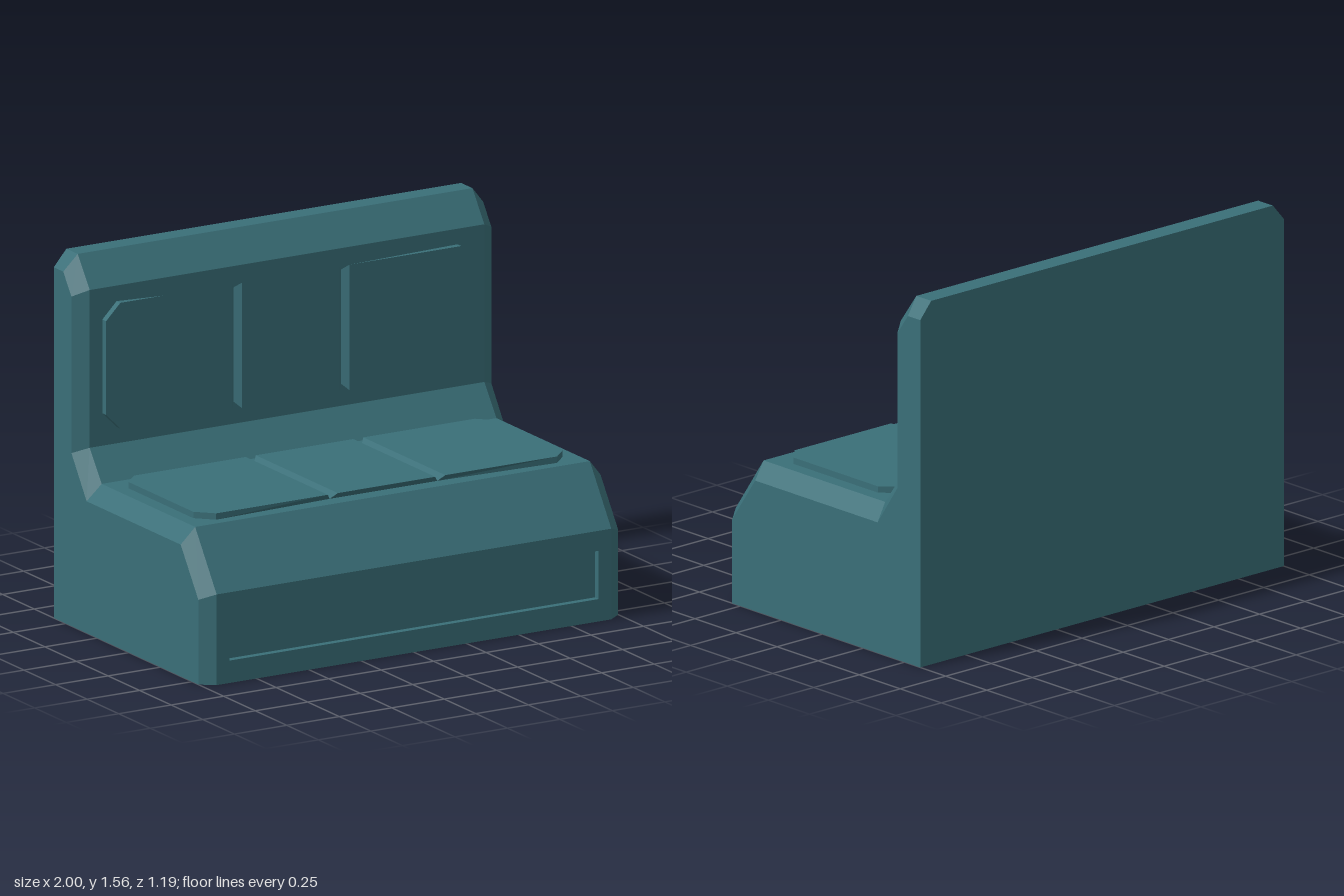
import * as THREE from 'three';

const upholstery = new THREE.MeshStandardMaterial({ color: 0x3a6f78 });
upholstery.name = 'teal upholstery';

// Non-indexed geometry from a list of triangles, giving flat faces
function facets(tris) {
  const g = new THREE.BufferGeometry();
  g.setAttribute('position', new THREE.Float32BufferAttribute(tris.flat(2), 3));
  g.computeVertexNormals();
  return g;
}
const quad = (a, b, c, d) => [[a, b, c], [a, c, d]];

function part(name, geometry) {
  const m = new THREE.Mesh(geometry, upholstery);
  m.name = name;
  return m;
}

// Side profiles as [z, y]: full section, and the smaller one at the bevelled ends
const FULL = [[-0.595, 0], [0.595, 0], [0.595, 0.385], [0.425, 0.63], [-0.315, 0.63],
  [-0.41, 0.76], [-0.41, 1.43], [-0.505, 1.56], [-0.595, 1.56]];
const END = [[-0.595, 0], [0.55, 0], [0.55, 0.36], [0.41, 0.56], [-0.335, 0.56],
  [-0.455, 0.735], [-0.455, 1.4], [-0.52, 1.49], [-0.595, 1.49]];
const FRONT_EDGE = 1; // profile edge that forms the front panel

function bodyGeometry() {
  const rings = [[-1, END], [-0.94, FULL], [0.94, FULL], [1, END]]
    .map(([x, pts]) => pts.map(([z, y]) => [x, y, z]));
  const tris = [];
  for (let r = 0; r < 3; r++) {
    for (let i = 0; i < FULL.length; i++) {
      if (r === 1 && i === FRONT_EDGE) continue;
      const j = (i + 1) % FULL.length;
      tris.push(...quad(rings[r][i], rings[r + 1][i], rings[r + 1][j], rings[r][j]));
    }
  }
  // end caps
  const caps = THREE.ShapeUtils.triangulateShape(END.map(([z, y]) => new THREE.Vector2(z, y)), []);
  for (const [a, b, c] of caps) {
    tris.push([rings[0][a], rings[0][b], rings[0][c]]);
    tris.push([rings[3][a], rings[3][c], rings[3][b]]);
  }
  return facets(tris);
}

// Front panel frame with a shallow sunken rectangle
function frontPanelGeometry() {
  const rect = (x, y0, y1, z) => [[-x, y0, z], [x, y0, z], [x, y1, z], [-x, y1, z]];
  const loops = [rect(0.94, 0, 0.385, 0.595), rect(0.88, 0.095, 0.3, 0.595), rect(0.88, 0.095, 0.3, 0.565)];
  const tris = quad(...loops[2]);
  for (let k = 0; k < 2; k++) {
    for (let i = 0; i < 4; i++) {
      const j = (i + 1) % 4;
      tris.push(...quad(loops[k][i], loops[k][j], loops[k + 1][j], loops[k + 1][i]));
    }
  }
  return facets(tris);
}

// Pad in the xy plane rising along z: outer ends have cut corners,
// ends next to another pad slope down into a V groove
function padGeometry(x0, x1, half, rise) {
  const cut = 0.068;
  const top = [], base = [];
  const add = (x, y, bx = x, by = y) => {
    top.push([x, y, rise]);
    base.push([bx, by, 0]);
  };
  const side = (x, dir) => { // dir +1: right end, going up; -1: left end, going down
    if (Math.abs(x) > 0.5) {
      add(x - dir * cut, -dir * half);
      add(x, -dir * (half - cut));
      add(x, dir * (half - cut));
      add(x - dir * cut, dir * half);
    } else {
      add(x, -dir * half, x + dir * 0.024, -dir * (half - 0.025));
      add(x, dir * half, x + dir * 0.024, dir * (half - 0.025));
    }
  };
  side(x1, 1);
  side(x0, -1);
  const tris = [];
  for (let i = 0; i < top.length; i++) {
    const j = (i + 1) % top.length;
    tris.push(...quad(base[i], base[j], top[j], top[i]));
    if (i > 0 && j > 0) tris.push([top[0], top[i], top[j]]);
  }
  return facets(tris);
}

// Row of three pads
function padRow(name, half, rise) {
  const row = new THREE.Group();
  row.name = name;
  [['right', -0.88, -0.28], ['middle', -0.232, 0.232], ['left', 0.28, 0.88]].forEach(([label, x0, x1]) => {
    row.add(part(`${label} pad`, padGeometry(x0, x1, half, rise)));
  });
  return row;
}

export function createModel() {
  const model = new THREE.Group();
  model.name = 'booth seat';
  model.add(part('body', bodyGeometry()), part('frontPanel', frontPanelGeometry()));

  const backrest = padRow('backrestPads', 0.267, 0.03);
  backrest.position.set(0, 1.097, -0.41);

  const seat = padRow('seatPads', 0.325, 0.027);
  seat.rotation.x = -Math.PI / 2;
  seat.position.set(0, 0.63, 0.053);

  model.add(backrest, seat);
  return model;
}
